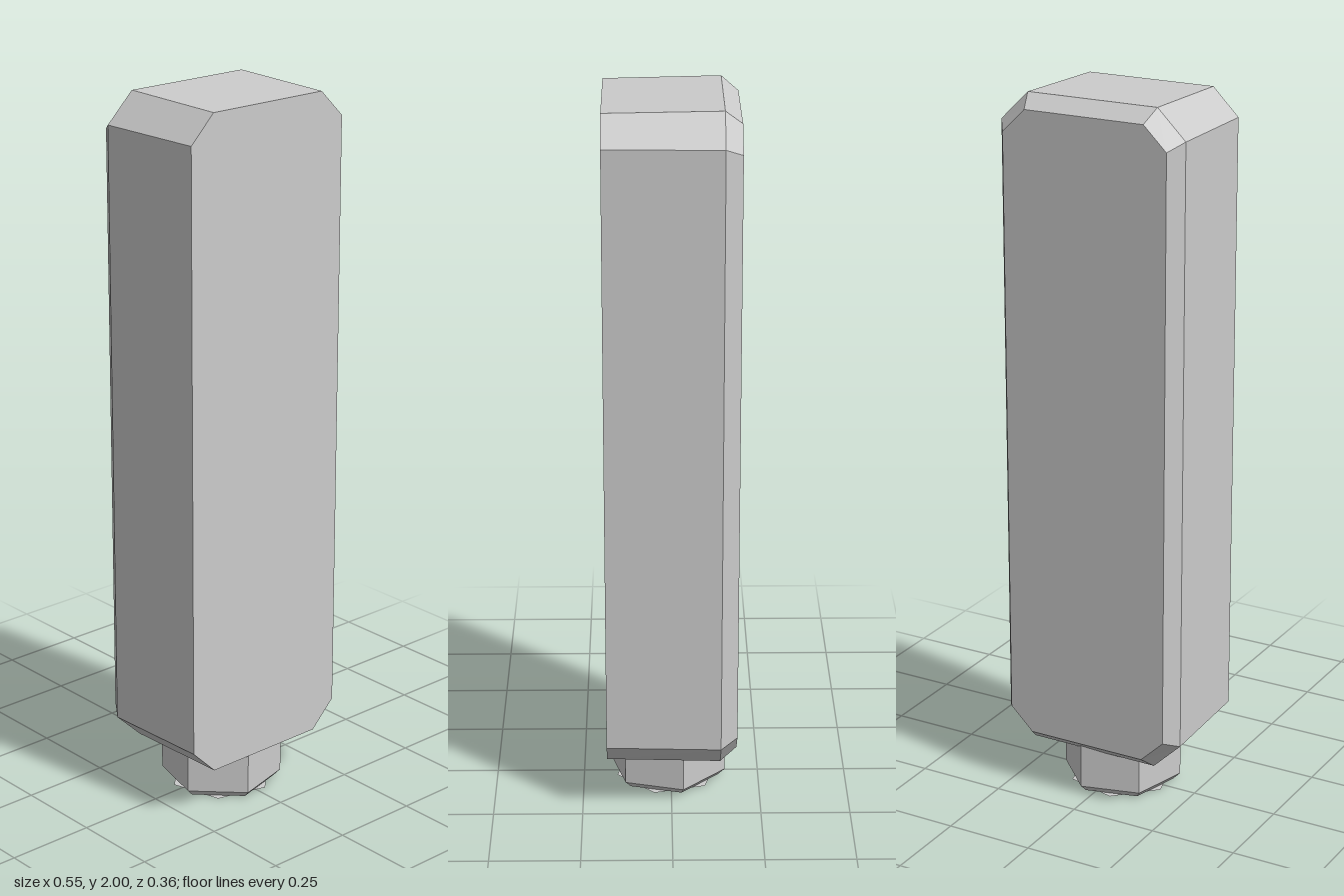
import * as THREE from 'three';

const material = new THREE.MeshStandardMaterial({ color: 0xcccccc, flatShading: true, side: THREE.DoubleSide });

// Rectangle with clipped corners, counter-clockwise seen from the front
function clippedRing({ z, w, low, high, cx, cy }) {
  return [
    [w, low + cy], [w, high - cy], [w - cx, high], [cx - w, high],
    [-w, high - cy], [-w, low + cy], [cx - w, low], [w - cx, low],
  ].map(([x, y]) => [x, y, z]);
}

// Joins rings from front to back and closes both ends
function loft(rings) {
  const positions = [];
  const tri = (...corners) => corners.forEach((c) => positions.push(...c));
  const n = rings[0].length;
  for (let r = 0; r < rings.length - 1; r++) {
    for (let i = 0; i < n; i++) {
      const j = (i + 1) % n;
      const a = rings[r][i], b = rings[r][j], c = rings[r + 1][j], d = rings[r + 1][i];
      tri(a, d, c);
      tri(a, c, b);
    }
  }
  const front = rings[0], back = rings[rings.length - 1];
  for (let i = 1; i < n - 1; i++) {
    tri(front[0], front[i], front[i + 1]);
    tri(back[0], back[i + 1], back[i]);
  }
  const geometry = new THREE.BufferGeometry();
  geometry.setAttribute('position', new THREE.Float32BufferAttribute(positions, 3));
  geometry.computeVertexNormals();
  return geometry;
}

export function createModel() {
  const group = new THREE.Group();
  const add = (name, geometry, parent = group) => {
    const mesh = new THREE.Mesh(geometry, material);
    mesh.name = name;
    parent.add(mesh);
    return mesh;
  };

  // Tall block: slightly flared toward the back, then bevelled at the rear
  add('body', loft([
    clippedRing({ z: 0.181, w: 0.263, low: 0.14, high: 1.994, cx: 0.075, cy: 0.075 }),
    clippedRing({ z: -0.136, w: 0.274, low: 0.134, high: 2, cx: 0.082, cy: 0.08 }),
    clippedRing({ z: -0.182, w: 0.243, low: 0.17, high: 1.963, cx: 0.067, cy: 0.065 }),
  ]));

  // Six-sided foot with a bevelled underside
  const foot = new THREE.Group();
  foot.name = 'foot';
  foot.position.set(-0.011, 0, 0.01);
  group.add(foot);
  const turn = -Math.PI / 12;
  add('footSides', new THREE.CylinderGeometry(0.17, 0.17, 0.17, 6, 1, true, turn), foot).position.y = 0.105;
  add('footBevel', new THREE.CylinderGeometry(0.17, 0.15, 0.02, 6, 1, true, turn), foot).position.y = 0.01;
  add('footBase', new THREE.CircleGeometry(0.15, 6, Math.PI / 12).rotateX(Math.PI / 2), foot);

  return group;
}
